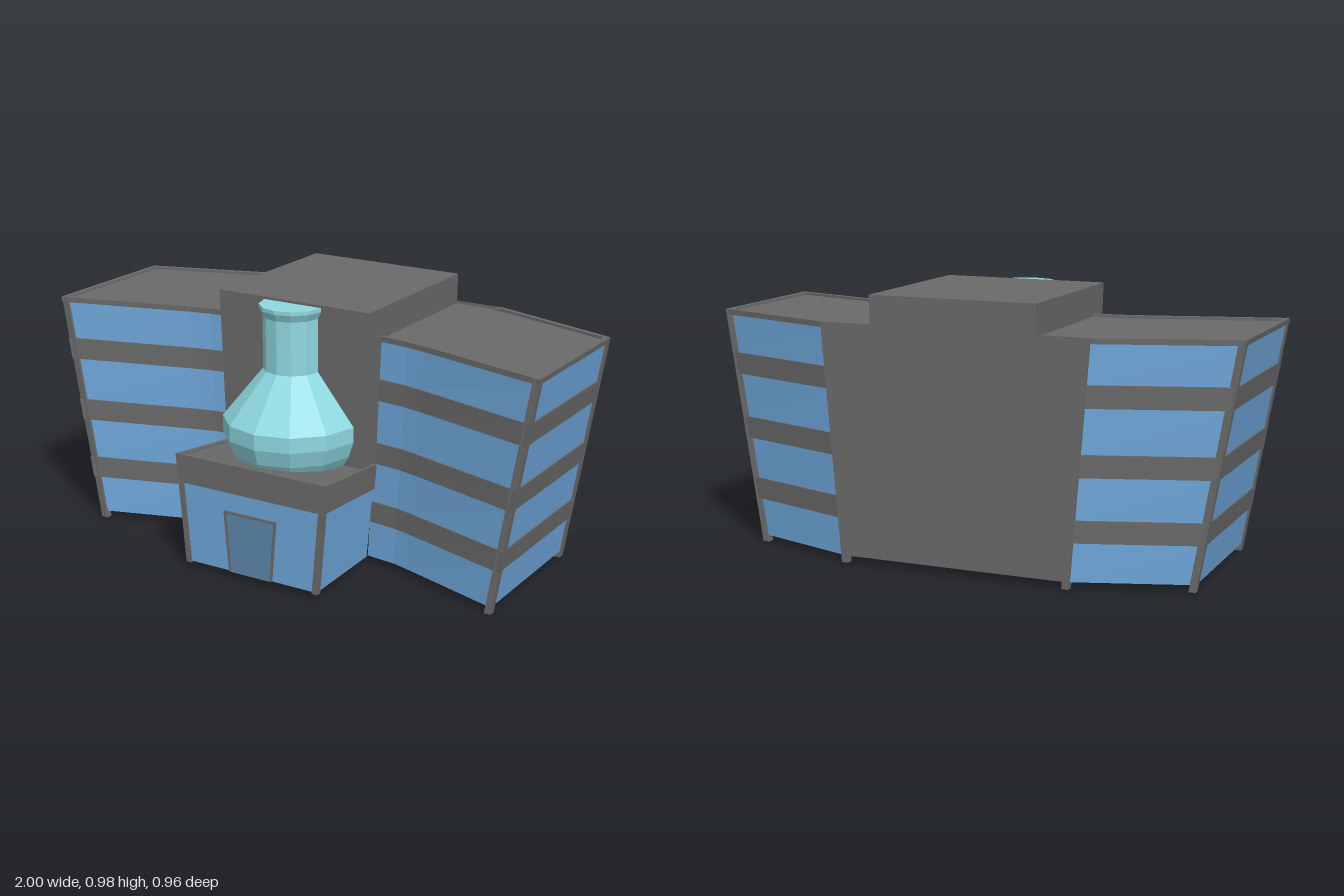
import * as THREE from 'three';

const mat = (name, color) => {
  const m = new THREE.MeshStandardMaterial({ color, side: THREE.DoubleSide });
  m.name = name;
  m.flatShading = true;
  return m;
};

// Flat-faced surface through rows of points, each row running left to right
function sheet(rows) {
  const pos = [];
  for (let i = 0; i < rows.length - 1; i++) {
    for (let j = 0; j < rows[i].length - 1; j++) {
      const a = rows[i][j], b = rows[i][j + 1], c = rows[i + 1][j + 1], d = rows[i + 1][j];
      pos.push(...a, ...b, ...c, ...a, ...c, ...d);
    }
  }
  const g = new THREE.BufferGeometry();
  g.setAttribute('position', new THREE.Float32BufferAttribute(pos, 3));
  g.computeVertexNormals();
  return g;
}

// Move an open [x, z] outline inward by d, with mitred corners
function inset(pts, d) {
  const n = pts.slice(1).map((p, i) => {
    const dx = p[0] - pts[i][0], dz = p[1] - pts[i][1], l = Math.hypot(dx, dz);
    return [-dz / l, dx / l];
  });
  return pts.map((p, i) => {
    const a = n[Math.max(i - 1, 0)], b = n[Math.min(i, n.length - 1)];
    const k = d / (1 + a[0] * b[0] + a[1] * b[1]);
    return [p[0] - (a[0] + b[0]) * k, p[1] - (a[1] + b[1]) * k];
  });
}

// Outline at height y of a wall leaning from a bottom outline to a top outline
function ring(bottom, top, height, y, d = 0) {
  const t = y / height;
  const pts = bottom.map((p, i) => [p[0] + (top[i][0] - p[0]) * t, p[1] + (top[i][1] - p[1]) * t]);
  return inset(pts, d).map(([x, z]) => [x, y, z]);
}

// Leaning square post between two [x, y, z] centres
function postGeometry(a, b, size) {
  const g = new THREE.BoxGeometry(size, 1, size);
  const p = g.attributes.position;
  for (let i = 0; i < p.count; i++) {
    const e = p.getY(i) > 0 ? b : a;
    p.setXYZ(i, p.getX(i) + e[0], e[1], p.getZ(i) + e[2]);
  }
  g.computeVertexNormals();
  return g;
}

export function createModel() {
  const model = new THREE.Group();
  model.name = 'building';
  const grey = mat('grey cladding', 0x6a6a6a);
  const glass = mat('blue glass', 0x6fa8dc);
  const teal = mat('teal flask', 0x8fd8e0);
  const doorGlass = mat('door glass', 0x5c88ae);
  const add = (parent, name, geometry, material) => {
    const m = new THREE.Mesh(geometry, material);
    m.name = name;
    parent.add(m);
    return m;
  };

  // Wings: bent outlines from the inner front, round the end, to the rear bend
  const H = 0.88, IN = 0.006;
  const bottomRight = [[0.26, 0.1], [0.38, 0.115], [0.43, 0.13], [0.85, 0.268], [0.85, -0.338], [0.43, -0.478]];
  const topRight = [[0.31, 0.1], [0.42, 0.113], [0.5, 0.13], [1, 0.268], [1, -0.316], [0.5, -0.478]];
  const windows = [[0.03, 0.17], [0.25, 0.4], [0.48, 0.64], [0.72, 0.86]];
  const mirror = (pts) => pts.map(([x, z]) => [-x, z]).reverse();

  for (const side of [1, -1]) {
    const wing = new THREE.Group();
    wing.name = side > 0 ? 'leftWing' : 'rightWing';
    model.add(wing);
    const bottom = side > 0 ? bottomRight : mirror(bottomRight);
    const top = side > 0 ? topRight : mirror(topRight);
    const at = (y, d) => ring(bottom, top, H, y, d);

    windows.forEach(([y0, y1], i) => {
      add(wing, 'windowBand', sheet([at(y0, IN), at(y1, IN)]), glass);
      const rows = i < 3
        ? [at(y1, IN), at(y1), at(windows[i + 1][0]), at(windows[i + 1][0], IN)]
        : [at(y1, IN), at(y1), at(H), at(H, 0.018), at(0.87, 0.018)];
      add(wing, i < 3 ? 'floorBand' : 'roofRim', sheet(rows), grey);
    });

    // Corner posts, ending in small feet
    const low = at(0.005, 0.013), high = at(H - 0.001, 0.013);
    low.forEach((p, i) => {
      if (Math.abs(top[i][0]) < 0.5) return;
      if (p[2] > 0 && Math.abs(p[0]) < 0.6) return;
      add(wing, 'cornerPost', postGeometry(p, high[i], 0.026), grey);
    });

    // Flat roof
    const outline = inset(top, 0.01).map(([x, z]) => new THREE.Vector2(x, -z));
    const back = [new THREE.Vector2(side * 0.25, 0.475), new THREE.Vector2(side * 0.25, -0.1)];
    outline.push(...(side > 0 ? back : back.reverse()));
    const roof = new THREE.ShapeGeometry(new THREE.Shape(outline)).rotateX(-Math.PI / 2);
    add(wing, 'wingRoof', roof.translate(0, 0.87, 0), grey);
  }

  // Central tower: three walls, roof and the wide rear panel
  const B = 0.475, TOP = 0.985;
  const towerAt = (y) => {
    const x = 0.278 + 0.037 * y / TOP;
    return [[-x, y, -B], [-x, y, 0.19], [x, y, 0.19], [x, y, -B]];
  };
  add(model, 'towerWalls', sheet([towerAt(0.405), towerAt(TOP)]), grey);
  add(model, 'towerRoof', new THREE.PlaneGeometry(0.63, 0.665).rotateX(-Math.PI / 2).translate(0, TOP, -0.1425), grey);
  const panel = new THREE.Shape([[-0.435, 0.03], [0.435, 0.03], [0.5, 0.88], [0.313, 0.88], [0.315, TOP],
    [-0.315, TOP], [-0.313, 0.88], [-0.5, 0.88]].map(([x, y]) => new THREE.Vector2(x, y)));
  add(model, 'rearPanel', new THREE.ShapeGeometry(panel).rotateY(Math.PI).translate(0, 0, -B), grey);

  // Entrance hall with a top that slopes down towards the tower
  const hall = new THREE.Group();
  hall.name = 'entranceHall';
  model.add(hall);
  const hallBottom = [[-0.265, 0.1], [-0.28, 0.48], [0.28, 0.48], [0.265, 0.1]];
  const hallTop = [[-0.3, 0.1], [-0.318, 0.48], [0.318, 0.48], [0.3, 0.1]];
  const hallAt = (y, d) => ring(hallBottom, hallTop, 0.44, y, d)
    .map(([x, h, z]) => [x, h - (0.48 - z) * 0.11 * h / 0.44, z]);
  add(hall, 'hallGlass', sheet([hallAt(0.03, IN), hallAt(0.333, IN)]), glass);
  add(hall, 'hallFascia', sheet([hallAt(0.333, IN), hallAt(0.333), hallAt(0.44), hallAt(0.44, 0.018), hallAt(0.432, 0.018)]), grey);
  const r = hallAt(0.432, 0.018);
  add(hall, 'hallRoof', sheet([[r[1], r[2]], [r[0], r[3]]]), grey);
  const footRow = hallAt(0.025, 0.011), headRow = hallAt(0.435, 0.011);
  for (const i of [1, 2]) add(hall, 'hallPost', postGeometry(footRow[i], headRow[i], 0.022), grey);

  // Door and its thin frame
  const trapezoid = (b, t, h) => [[-b, 0.03], [b, 0.03], [t, h], [-t, h]].map(([x, y]) => new THREE.Vector2(x, y));
  const frame = new THREE.Shape(trapezoid(0.091, 0.111, 0.262));
  frame.holes.push(new THREE.Path(trapezoid(0.083, 0.102, 0.254)));
  add(hall, 'doorFrame', new THREE.ExtrudeGeometry(frame, { depth: 0.008, bevelEnabled: false }).translate(0, 0, 0.474), grey);
  add(hall, 'door', new THREE.ShapeGeometry(new THREE.Shape(trapezoid(0.085, 0.104, 0.256))).translate(0, 0, 0.4765), doorGlass);

  // Twelve-sided flask set into the tower front
  const profile = [[0, 0.385], [0.2, 0.385], [0.235, 0.44], [0.255, 0.5], [0.255, 0.557], [0.107, 0.738],
    [0.107, 0.935], [0.12, 0.962], [0.12, 0.976], [0, 0.976]].map(([x, y]) => new THREE.Vector2(x, y));
  add(model, 'flask', new THREE.LatheGeometry(profile, 12).translate(0, 0, 0.19), teal);

  return model;
}
